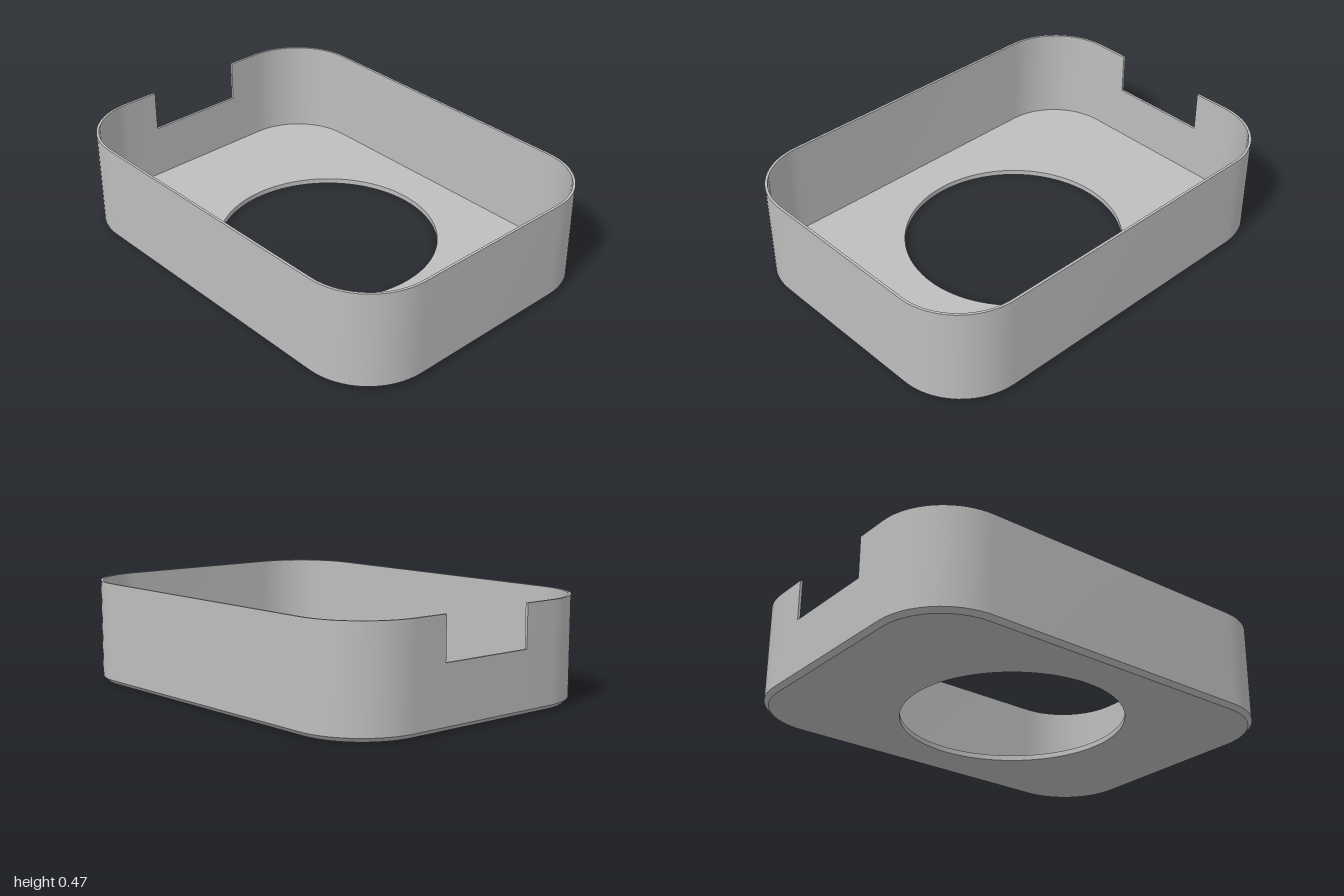
import * as THREE from 'three';
import { toCreasedNormals } from 'three/addons/utils/BufferGeometryUtils.js';

const HALF_X = 0.725, HALF_Z = 1, CORNER = 0.32;
const HEIGHT = 0.475, WALL = 0.012, FLOOR = 0.025, CHAMFER = 0.02;
const HOLE = 0.51, NOTCH_HALF = 0.24, NOTCH_Y = 0.28;
const STEPS = 16;

// Rounded corners, clockwise from back left; each point keeps its outward direction
function cornerPoints() {
  const points = [];
  const signs = [[1, -1], [1, 1], [-1, 1], [-1, -1]];
  signs.forEach(([sx, sz], k) => {
    for (let i = 0; i <= STEPS; i++) {
      const a = (k - 1 + i / STEPS) * Math.PI / 2;
      points.push({
        x: sx * (HALF_X - CORNER), z: sz * (HALF_Z - CORNER),
        nx: Math.cos(a), nz: Math.sin(a), top: HEIGHT
      });
    }
  });
  return points;
}

function place(p, inset) {
  const r = CORNER - inset;
  return [p.x + p.nx * r, p.z + p.nz * r];
}

// Wall cross-section swept round the outline; its top drops at the notch
function wallGeometry() {
  const edge = (x, top) => ({ x, z: -(HALF_Z - CORNER), nx: 0, nz: -1, top });
  const outline = [
    edge(NOTCH_HALF, HEIGHT), ...cornerPoints(), edge(-NOTCH_HALF, HEIGHT),
    edge(-NOTCH_HALF, NOTCH_Y), edge(NOTCH_HALF, NOTCH_Y)
  ];
  const columns = outline.map(p => [
    [CHAMFER, 0], [0, CHAMFER], [0, p.top], [WALL, p.top], [WALL, FLOOR]
  ].map(([inset, y]) => {
    const [x, z] = place(p, inset);
    return [x, y, z];
  }));
  const positions = [];
  columns.forEach((a, i) => {
    const next = (i + 1) % columns.length;
    const b = columns[next];
    const isNotchEnd = outline[i].top !== outline[next].top;
    for (let j = 0; j < 4; j++) {
      if (isNotchEnd && j !== 2) continue; // only the cut end face has area here
      positions.push(...a[j], ...a[j + 1], ...b[j], ...b[j], ...a[j + 1], ...b[j + 1]);
    }
  });
  const geometry = new THREE.BufferGeometry();
  geometry.setAttribute('position', new THREE.Float32BufferAttribute(positions, 3));
  return toCreasedNormals(geometry, Math.PI / 6);
}

// Flat floor face with the round opening
function floorFace(inset) {
  const shape = new THREE.Shape(cornerPoints().map(p => new THREE.Vector2(...place(p, inset))));
  const hole = new THREE.Path();
  hole.absarc(0, 0, HOLE, 0, Math.PI * 2, true);
  shape.holes.push(hole);
  return new THREE.ShapeGeometry(shape, 48);
}

export function createModel() {
  const model = new THREE.Group();
  model.name = 'openTray';
  const grey = new THREE.MeshStandardMaterial({ color: 0xbebebe, side: THREE.DoubleSide });
  grey.name = 'grey';

  const add = (name, geometry, y = 0) => {
    const mesh = new THREE.Mesh(geometry, grey);
    mesh.name = name;
    mesh.position.y = y;
    model.add(mesh);
  };

  add('notchedWall', wallGeometry());
  add('floorUnderside', floorFace(CHAMFER).rotateX(Math.PI / 2));
  add('floorTop', floorFace(WALL).rotateX(-Math.PI / 2), FLOOR);
  add('openingRim', new THREE.CylinderGeometry(HOLE, HOLE, FLOOR, 96, 1, true), FLOOR / 2);
  return model;
}
